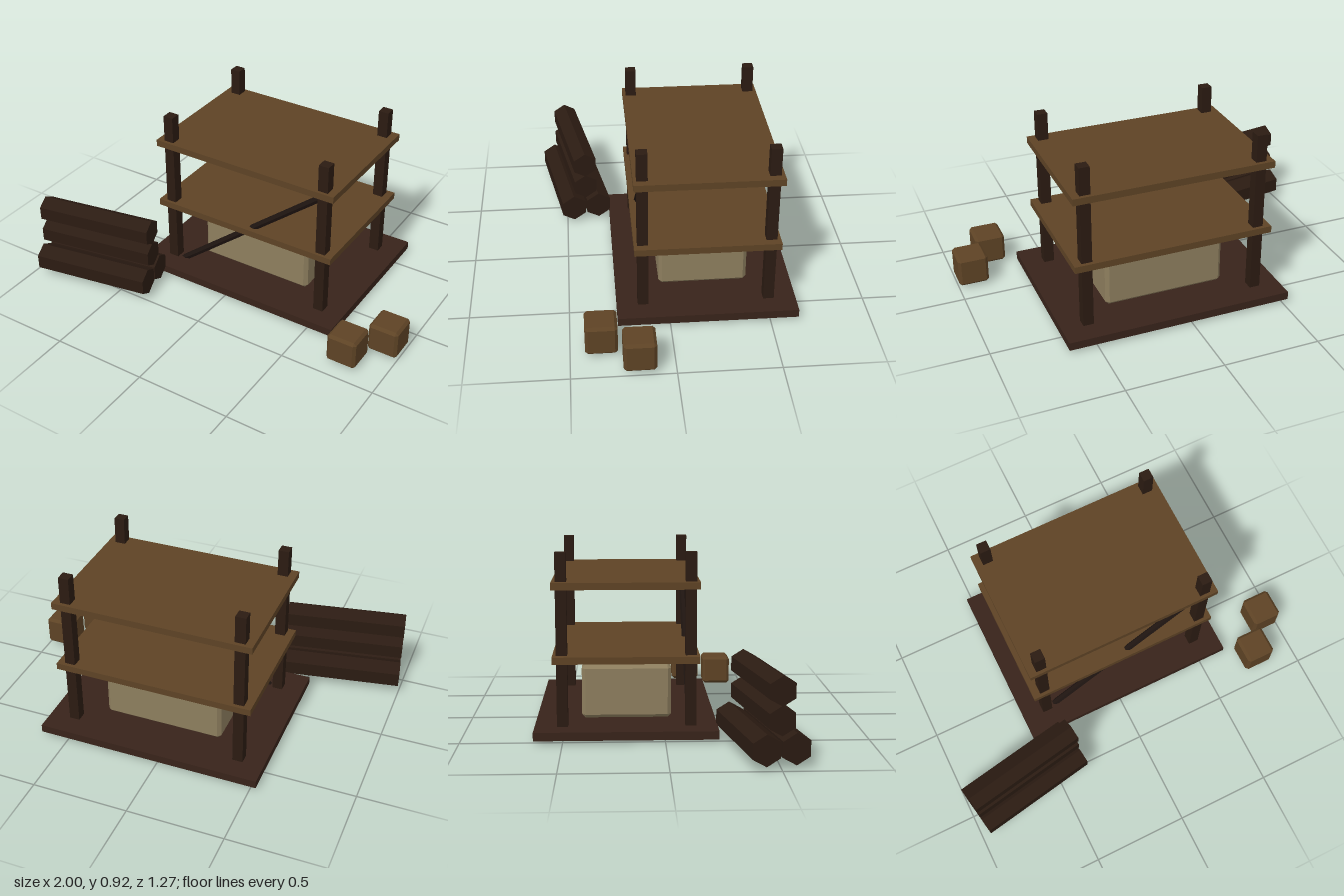
import * as THREE from 'three';
import { ConvexGeometry } from 'three/addons/geometries/ConvexGeometry.js';

const mat = (color) => new THREE.MeshStandardMaterial({ color, flatShading: true });
const darkWood = mat(0x2b1b12);
const baseWood = mat(0x38231a);
const plankWood = mat(0x5e4325);
const braceWood = mat(0x1e1410);
const canvas = mat(0x8d7e5e);

// Box with every edge cut at 45 degrees
function chamferedBox(w, h, d, c) {
  const points = [];
  for (const sx of [-1, 1]) for (const sy of [-1, 1]) for (const sz of [-1, 1]) {
    for (let full = 0; full < 3; full++) {
      const half = [w / 2 - c, h / 2 - c, d / 2 - c];
      half[full] += c;
      points.push(new THREE.Vector3(sx * half[0], sy * half[1], sz * half[2]));
    }
  }
  return new ConvexGeometry(points);
}

export function createModel() {
  const model = new THREE.Group();
  model.name = 'storageRack';

  function add(parent, name, geometry, material, x, y, z) {
    const mesh = new THREE.Mesh(geometry, material);
    mesh.name = name;
    mesh.position.set(x, y, z);
    parent.add(mesh);
    return mesh;
  }

  // Platform and two shelves
  add(model, 'base', new THREE.BoxGeometry(1.175, 0.042, 0.903), baseWood, 0.058, 0.039, -0.19);
  for (const [name, y] of [['lowerShelf', 0.397], ['upperShelf', 0.76]]) {
    add(model, name, new THREE.BoxGeometry(1.037, 0.035, 0.722), plankWood, 0.058, y, -0.189);
  }

  // Corner posts
  for (const x of [-0.394, 0.51]) for (const z of [-0.504, 0.129]) {
    add(model, 'post', new THREE.BoxGeometry(0.054, 0.862, 0.054), darkWood, x, 0.489, z);
  }

  // Diagonal brace across the front
  const start = new THREE.Vector3(-0.384, 0.014, 0.129);
  const end = new THREE.Vector3(0.502, 0.735, 0.129);
  const along = end.clone().sub(start);
  const middle = start.clone().add(end).multiplyScalar(0.5);
  const brace = add(model, 'brace', new THREE.CylinderGeometry(0.018, 0.018, along.length(), 6),
    braceWood, middle.x, middle.y, middle.z);
  brace.quaternion.setFromUnitVectors(new THREE.Vector3(0, 1, 0), along.normalize());

  // Large chest under the lower shelf
  add(model, 'chest', chamferedBox(0.632, 0.273, 0.452, 0.018), canvas, 0.058, 0.196, -0.187);

  // Two small crates beside the rack
  for (const [x, z] of [[0.783, 0.349], [0.92, 0.172]]) {
    add(model, 'smallCrate', chamferedBox(0.157, 0.157, 0.157, 0.014), plankWood, x, 0.097, z);
  }

  // Stacked hexagonal logs, ridge upward
  const logs = new THREE.Group();
  logs.name = 'logPile';
  logs.position.set(-0.665, 0, 0.445);
  logs.rotation.y = THREE.MathUtils.degToRad(10);
  model.add(logs);
  for (const [y, z, r] of [[0.093, -0.07, 0.075], [0.093, 0.07, 0.075], [0.226, 0, 0.07], [0.361, 0, 0.07]]) {
    const geometry = new THREE.CylinderGeometry(r, r, 0.63, 6);
    geometry.rotateY(Math.PI / 6).rotateZ(Math.PI / 2);
    add(logs, 'log', geometry, darkWood, 0, y, z);
  }

  return model;
}
